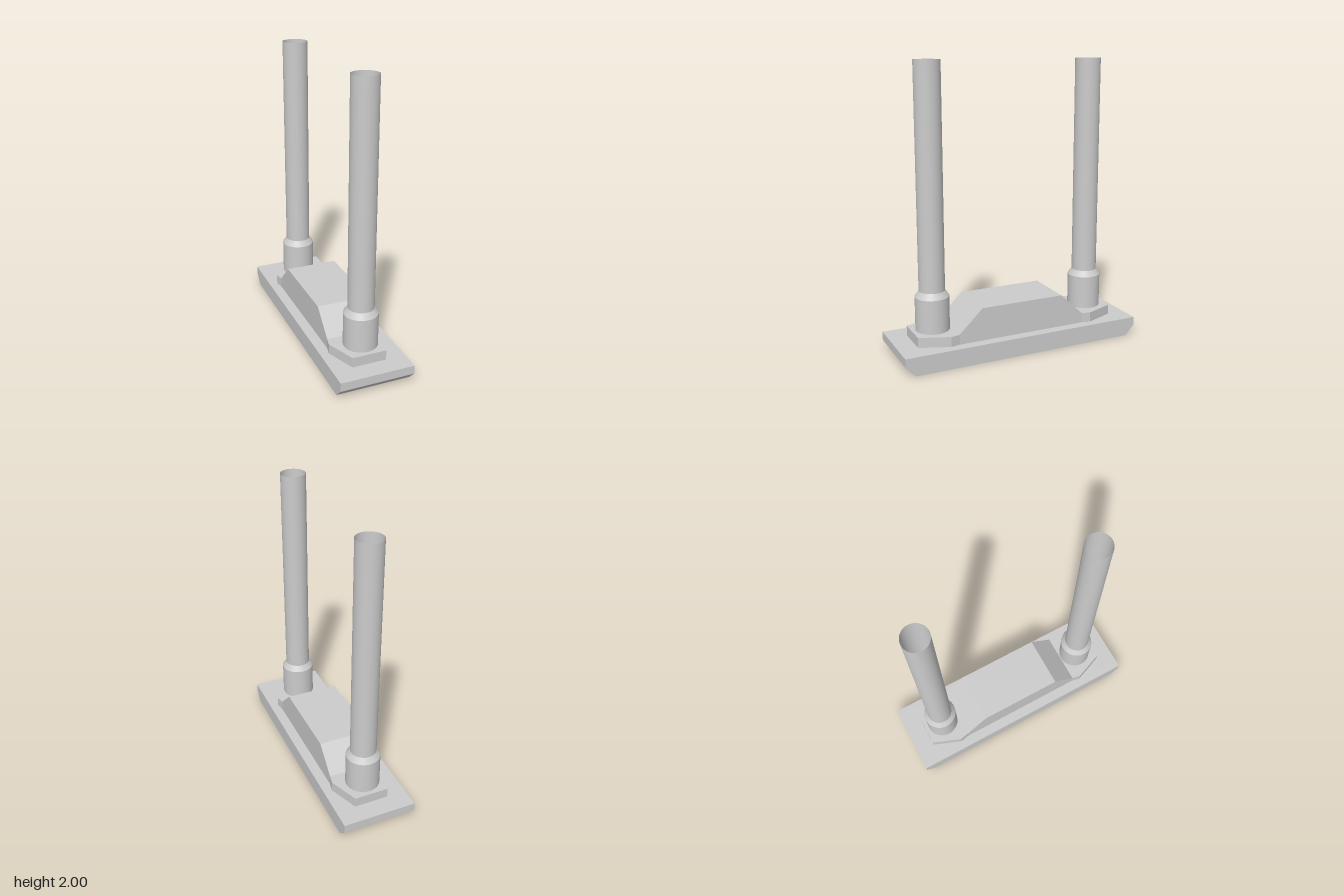
import * as THREE from 'three';

const flat = new THREE.MeshStandardMaterial({ color: 0xcccccc, flatShading: true });
const smooth = new THREE.MeshStandardMaterial({ color: 0xcccccc, side: THREE.DoubleSide });

function extrude(points, depth) {
  const shape = new THREE.Shape(points.map(([x, y]) => new THREE.Vector2(x, y)));
  return new THREE.ExtrudeGeometry(shape, { depth, bevelEnabled: false });
}

// Side profile (z, y) stretched across the width of the model
function acrossWidth(points, width) {
  return extrude(points, width).translate(0, 0, -width / 2).rotateY(Math.PI / 2);
}

function add(parent, name, geometry, material) {
  const mesh = new THREE.Mesh(geometry, material);
  mesh.name = name;
  parent.add(mesh);
  return mesh;
}

// Open round section between two heights
function ring(rTop, rBottom, y0, y1) {
  return new THREE.CylinderGeometry(rTop, rBottom, y1 - y0, 48, 1, true).translate(0, (y0 + y1) / 2, 0);
}

export function createModel() {
  const model = new THREE.Group();
  model.name = 'twinPostBase';

  // Base plate, undercut at both ends
  add(model, 'basePlate', acrossWidth([
    [-0.805, 0], [0.805, 0], [0.873, 0.07], [0.873, 0.13], [-0.873, 0.13], [-0.873, 0.07],
  ], 0.52), flat);

  // Raised pad with a tapered flange at each end
  const quarter = [[0.187, 0.47], [0.2, 0.535], [0.12, 0.74]];
  const half = [...quarter, ...quarter.map(([x, z]) => [-x, z]).reverse()];
  const outline = [...half, ...half.map(([x, z]) => [-x, -z])];
  add(model, 'pad', extrude(outline, 0.07).rotateX(-Math.PI / 2).translate(0, 0.13, 0), flat);

  // Central block with sloping ends
  add(model, 'centreBlock', acrossWidth([
    [-0.472, 0.2], [0.472, 0.2], [0.303, 0.36], [-0.303, 0.36],
  ], 0.374), flat);

  // Hollow posts in chamfered collars
  for (const [name, z] of [['frontPost', 0.594], ['backPost', -0.594]]) {
    const post = new THREE.Group();
    post.name = name;
    post.position.z = z;
    add(post, 'collar', ring(0.117, 0.117, 0.2, 0.435), smooth);
    add(post, 'collarChamfer', ring(0.089, 0.117, 0.435, 0.475), smooth);
    add(post, 'tube', ring(0.089, 0.089, 0.475, 2), smooth);
    model.add(post);
  }
  return model;
}
